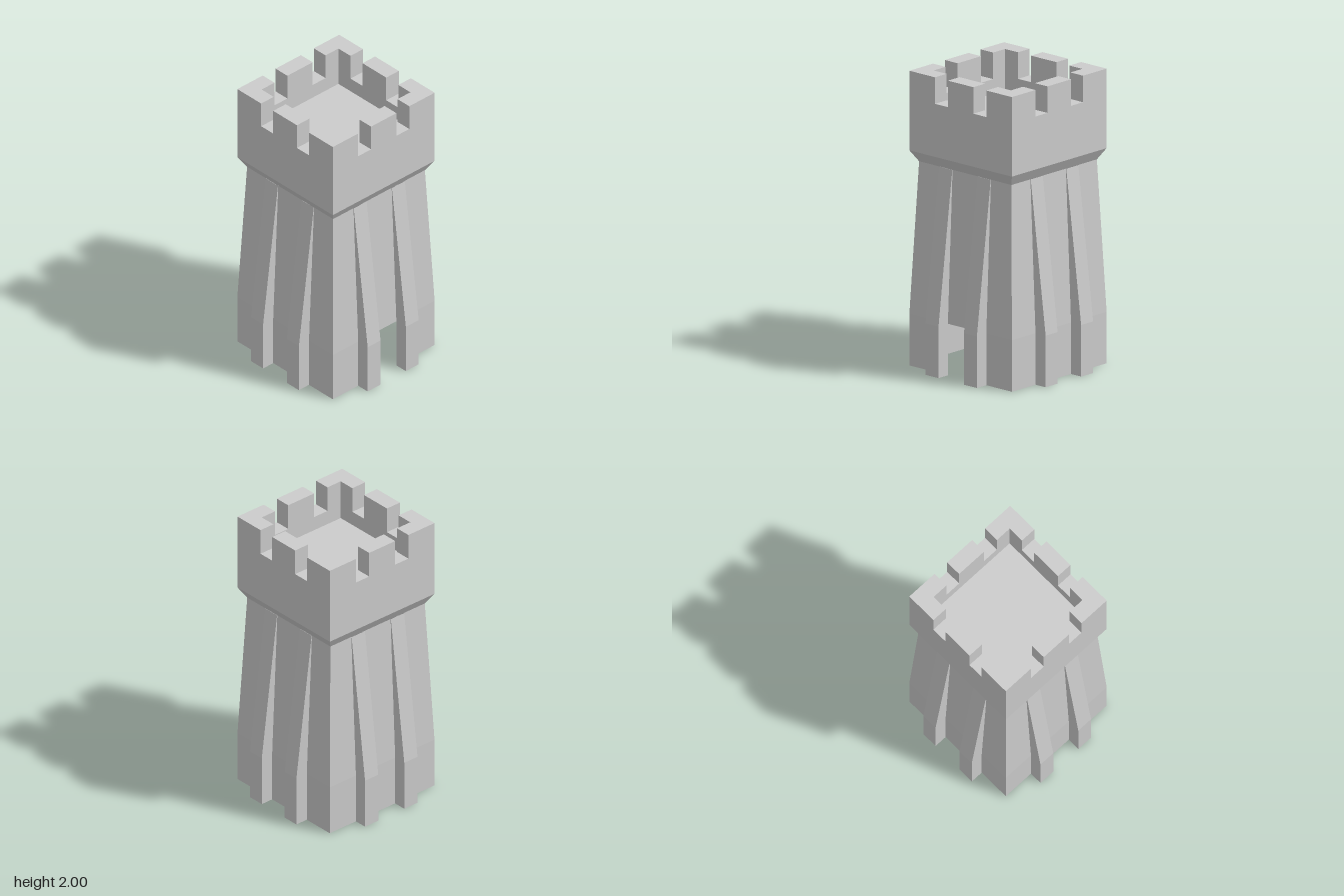
import * as THREE from 'three';

const OUTER = 0.455, INNER = 0.343; // parapet half widths
const A = 0.113, B = 0.228;         // near and far edges of each buttress and gap
const DECK = 1.72, SILL = 1.82, TOP = 2;

// Flat-faced skin between outline levels, repeated on four sides.
// outline(level) lists [along, out] points of one side, left to right.
function fourSidedSkin(levels, outline, skip = () => false) {
  const pos = [];
  for (let side = 0; side < 4; side++) {
    const c = Math.round(Math.cos(side * Math.PI / 2)), s = Math.round(Math.sin(side * Math.PI / 2));
    for (let l = 0; l < levels.length - 1; l++) {
      const [lo, hi] = [levels[l], levels[l + 1]].map((level) =>
        outline(level).map(([t, o]) => [t * c + o * s, level.y, -t * s + o * c]));
      for (let i = 0; i < lo.length - 1; i++) {
        if (skip(side, l, i)) continue;
        pos.push(...lo[i], ...lo[i + 1], ...hi[i + 1], ...lo[i], ...hi[i + 1], ...hi[i]);
      }
    }
  }
  const geometry = new THREE.BufferGeometry();
  geometry.setAttribute('position', new THREE.Float32BufferAttribute(pos, 3));
  geometry.computeVertexNormals();
  return geometry;
}

const polygon = (points) => new THREE.Shape(points.map(([x, y]) => new THREE.Vector2(x, y)));
const square = (h) => [[-h, -h], [h, -h], [h, h], [-h, h]];

// Extrude a plan shape upwards from y0 to y1
function upright(shape, y0, y1) {
  return new THREE.ExtrudeGeometry(shape, { depth: y1 - y0, bevelEnabled: false })
    .rotateX(-Math.PI / 2).translate(0, y0, 0);
}

export function createModel() {
  const tower = new THREE.Group();
  tower.name = 'castleTower';
  const stone = new THREE.MeshStandardMaterial({ color: 0xcccccc, side: THREE.DoubleSide });
  stone.name = 'stone';
  const add = (name, geometry) => {
    const mesh = new THREE.Mesh(geometry, stone);
    mesh.name = name;
    tower.add(mesh);
    return mesh;
  };

  // Hollow shaft with two tapering buttresses per side and a doorway on +x
  const shaftLevels = [
    { y: 0, h: OUTER, b: 0.545 },
    { y: 0.35, h: OUTER, b: 0.545 },
    { y: 1.385, h: 0.41, b: 0.413 },
  ];
  const shaftOutline = ({ h, b }) => [
    [-h, h], [-B, h], [-B, b], [-A, b], [-A, h],
    [A, h], [A, b], [B, b], [B, h], [h, h],
  ];
  const isDoor = (side, level, i) => side === 1 && level === 0 && i === 4;
  add('shaft', fourSidedSkin(shaftLevels, shaftOutline, isDoor));

  // Underside of the door lintel
  const lintel = add('doorLintel', new THREE.PlaneGeometry(0.11, 2 * A).rotateX(Math.PI / 2));
  lintel.position.set(OUTER - 0.055, 0.35, 0);

  // Flared collar and plain wall of the head
  const headLevels = [{ y: 1.385, h: 0.41 }, { y: 1.46, h: OUTER }, { y: DECK, h: OUTER }];
  add('head', fourSidedSkin(headLevels, ({ h }) => [[-h, h], [h, h]]));

  // Deck and low parapet around it
  const deck = add('deck', new THREE.PlaneGeometry(2 * INNER, 2 * INNER).rotateX(-Math.PI / 2));
  deck.position.y = DECK;
  const ring = polygon(square(OUTER));
  ring.holes.push(new THREE.Path(square(INNER).map(([x, y]) => new THREE.Vector2(x, y))));
  add('parapet', upright(ring, DECK, SILL));

  // One corner merlon and one middle merlon per side
  const corner = upright(polygon([
    [B, INNER], [INNER, INNER], [INNER, B], [OUTER, B], [OUTER, OUTER], [B, OUTER],
  ]), SILL, TOP);
  const middle = upright(polygon([[-A, INNER], [A, INNER], [A, OUTER], [-A, OUTER]]), SILL, TOP);
  for (let i = 0; i < 4; i++) {
    add('cornerMerlon', corner).rotation.y = i * Math.PI / 2;
    add('middleMerlon', middle).rotation.y = i * Math.PI / 2;
  }
  return tower;
}
